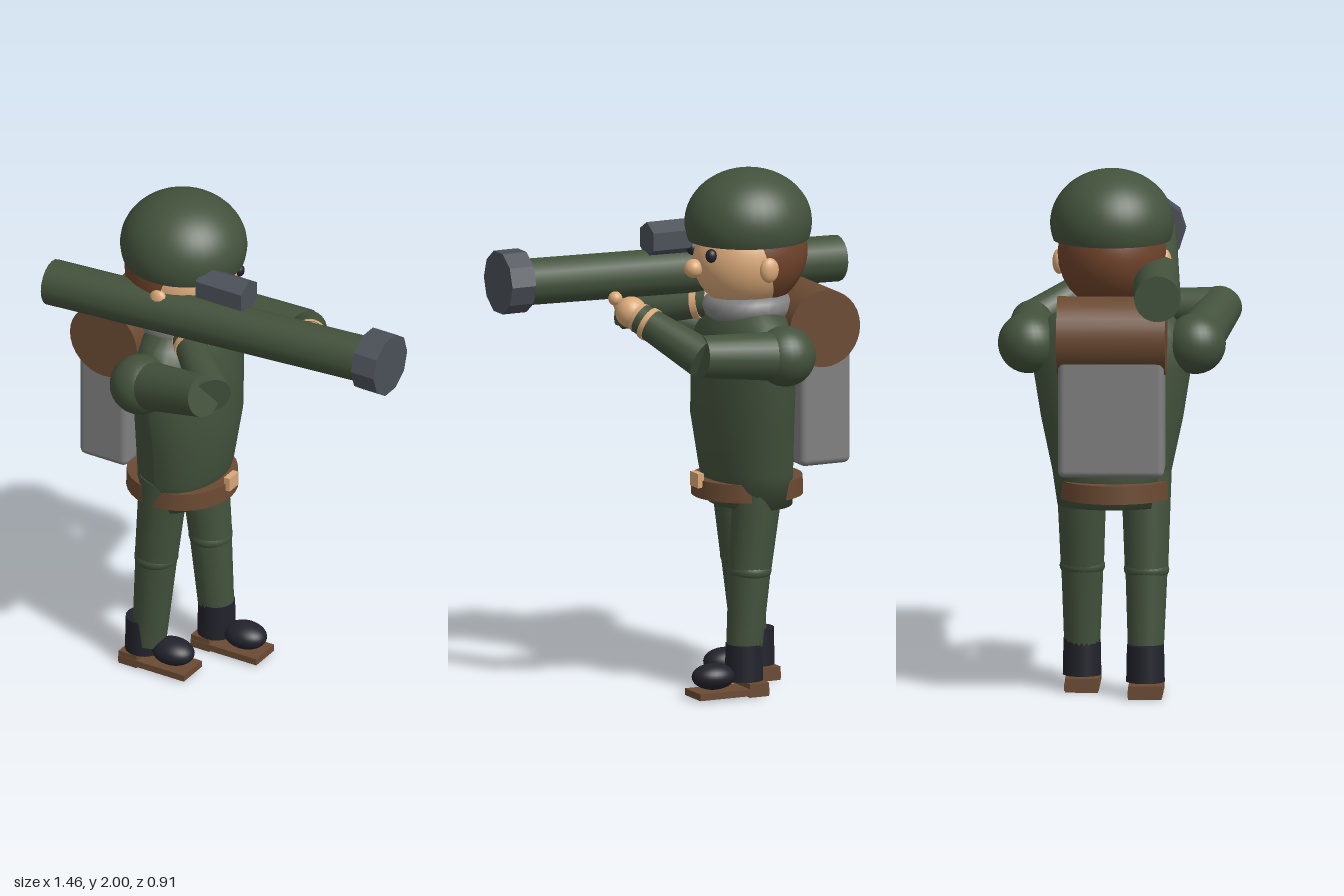
import * as THREE from 'three';
import { RoundedBoxGeometry } from 'three/addons/geometries/RoundedBoxGeometry.js';

const mat = (name, color, opts = {}) => {
  const m = new THREE.MeshStandardMaterial({ color, ...opts });
  m.name = name;
  return m;
};

export function createModel() {
  const green = mat('uniform green', 0x43523c);
  const brown = mat('leather brown', 0x6b4a32);
  const grey = mat('canvas grey', 0x808080);
  const metal = mat('gun metal', 0x4b5058, { flatShading: true });
  const dark = mat('boot black', 0x22222c);
  const skin = mat('skin', 0xd9a878);
  const hairMat = mat('hair brown', 0x6f432a, { side: THREE.DoubleSide });
  const helmetMat = green.clone();
  helmetMat.side = THREE.DoubleSide;

  const model = new THREE.Group();
  model.name = 'soldier';
  const V = (p) => new THREE.Vector3(...p);
  const UP = new THREE.Vector3(0, 1, 0);

  const add = (name, geo, m, p = [0, 0, 0], s = [1, 1, 1]) => {
    const mesh = new THREE.Mesh(geo, m);
    mesh.name = name;
    mesh.position.set(...p);
    mesh.scale.set(...s);
    model.add(mesh);
    return mesh;
  };
  const ball = (name, m, p, rx, ry = rx, rz = rx) =>
    add(name, new THREE.SphereGeometry(1, 28, 18), m, p, [rx, ry, rz]);
  // Tapered cylinder running from point a to point b
  const limb = (name, m, a, b, ra, rb, sides = 24) => {
    const d = V(b).sub(V(a));
    const mesh = add(name, new THREE.CylinderGeometry(rb, ra, d.length(), sides), m);
    mesh.position.copy(V(a)).addScaledVector(d, 0.5);
    mesh.quaternion.setFromUnitVectors(UP, d.normalize());
    return mesh;
  };
  const lerp = (a, b, t) => a.map((v, i) => v + (b[i] - v) * t);

  // Torso: unit lathe whose rings are stretched to an oval by height
  const rings = [ // y, half depth x, half width z, centre x
    [0.72, 0.15, 0.205, -0.265], [0.85, 0.165, 0.225, -0.25], [1.05, 0.175, 0.268, -0.235],
    [1.25, 0.165, 0.3, -0.24], [1.36, 0.15, 0.295, -0.245], [1.44, 0.13, 0.23, -0.25],
    [1.49, 0.08, 0.13, -0.255]];
  const profile = [new THREE.Vector2(0, 0), ...rings.map((r, i) => new THREE.Vector2(1, i)),
    new THREE.Vector2(0, rings.length - 1)];
  const torso = new THREE.LatheGeometry(profile, 32);
  const pos = torso.attributes.position;
  for (let i = 0; i < pos.count; i++) {
    const [y, rx, rz, cx] = rings[Math.round(pos.getY(i))];
    pos.setXYZ(i, cx + pos.getX(i) * rx, y, -0.025 + pos.getZ(i) * rz);
  }
  torso.computeVertexNormals();
  add('jacket', torso, green);

  // Belt and buckle
  add('belt', new THREE.CylinderGeometry(0.21, 0.212, 0.07, 32), brown, [-0.26, 0.785, -0.015]);
  add('beltBuckle', new THREE.BoxGeometry(0.025, 0.055, 0.065), skin, [-0.047, 0.82, -0.02]);

  // Legs and boots: [side name, z, hip x, knee x, ankle x]
  for (const [side, z, hx, kx, ax] of [
    ['right', 0.105, -0.265, -0.3, -0.333], ['left', -0.14, -0.25, -0.21, -0.18]]) {
    const hip = [hx, 0.85, z], knee = [kx, 0.48, z + 0.002], ankle = [ax, 0.1, z];
    limb(side + 'Thigh', green, hip, knee, 0.096, 0.082);
    ball(side + 'Knee', green, knee, 0.083, 0.05, 0.086);
    limb(side + 'Shin', green, knee, ankle, 0.08, 0.065);
    const fx = side === 'right' ? -0.285 : -0.115; // middle of the sole
    add(side + 'BootShaft', new THREE.CylinderGeometry(0.07, 0.073, 0.14, 20), dark,
      [fx - 0.07, 0.13, z]);
    ball(side + 'BootToe', dark, [fx + 0.058, 0.083, z], 0.086, 0.05, 0.068);
    add(side + 'BootSole', new THREE.BoxGeometry(0.29, 0.026, 0.13), brown, [fx, 0.02, z]);
    add(side + 'BootHeel', new THREE.BoxGeometry(0.08, 0.052, 0.125), brown, [fx - 0.105, 0.026, z]);
  }

  // Arms: shoulder, elbow, wrist
  for (const [side, shoulder, elbow, elbow2, wrist] of [
    ['left', [-0.26, 1.335, -0.34], [0.095, 1.365, -0.337], [0.09, 1.36, -0.345], [0.245, 1.49, -0.115]],
    ['right', [-0.26, 1.335, 0.29], [0.075, 1.43, 0.378], [0.09, 1.42, 0.345], [-0.17, 1.475, 0.1]]]) {
    ball(side + 'Shoulder', green, shoulder, 0.115);
    limb(side + 'UpperArm', green, shoulder, elbow, 0.095, 0.08);
    limb(side + 'Forearm', green, elbow2, wrist, 0.076, 0.057);
    limb(side + 'CuffBand', skin, lerp(elbow2, wrist, 0.8), lerp(elbow2, wrist, 0.87), 0.066, 0.064);
    const hand = lerp(elbow2, wrist, 1.12);
    limb(side + 'Wrist', skin, lerp(elbow2, wrist, 0.97), hand, 0.06, 0.045);
    ball(side + 'Hand', skin, hand, 0.06);
    const dir = V(wrist).sub(V(elbow2)).normalize();
    for (let i = -1; i <= 1; i++) {
      const q = V(hand).addScaledVector(dir, 0.05);
      ball(side + 'Finger', skin, [q.x + i * 0.02, q.y + i * 0.028, q.z + i * 0.005], 0.027);
    }
  }

  // Scarf and neck
  add('neck', new THREE.CylinderGeometry(0.1, 0.1, 0.16, 20), skin, [-0.26, 1.5, -0.025]);
  const scarf = add('scarf', new THREE.TorusGeometry(0.125, 0.05, 10, 24), grey, [-0.26, 1.475, -0.025]);
  scarf.rotation.x = Math.PI / 2;

  // Head and face
  ball('head', skin, [-0.25, 1.655, -0.025], 0.205, 0.19, 0.19);
  ball('nose', skin, [-0.03, 1.635, -0.025], 0.036);
  for (const s of [-1, 1]) {
    ball('eye', dark, [-0.065, 1.695, -0.025 + s * 0.08], 0.022, 0.026, 0.022);
    ball('ear', skin, [-0.25, 1.645, -0.025 + s * 0.2], 0.038, 0.048, 0.025);
  }
  const hair = add('hair', new THREE.SphereGeometry(1, 28, 14, 0, Math.PI * 2, 0, Math.PI * 0.53),
    hairMat, [-0.265, 1.68, -0.025], [0.215, 0.225, 0.205]);
  hair.rotation.z = 1.25;

  // Helmet dome with a closed underside, and its peak
  const domeEnd = Math.PI * 0.6;
  add('helmet', new THREE.SphereGeometry(1, 36, 20, 0, Math.PI * 2, 0, domeEnd), helmetMat,
    [-0.26, 1.795, -0.025], [0.243, 0.205, 0.233]);
  const rimY = 1.795 + 0.205 * Math.cos(domeEnd);
  const under = add('helmetUnderside', new THREE.CircleGeometry(1, 36), helmetMat,
    [-0.26, rimY, -0.025], [0.243 * Math.sin(domeEnd), 0.233 * Math.sin(domeEnd), 1]);
  under.rotation.x = Math.PI / 2;
  const peak = new THREE.Shape();
  peak.moveTo(-0.08, -0.19);
  peak.lineTo(0.03, -0.17);
  peak.quadraticCurveTo(0.2, 0, 0.03, 0.17);
  peak.lineTo(-0.08, 0.19);
  const brim = add('helmetPeak', new THREE.ExtrudeGeometry(peak, { depth: 0.022, bevelEnabled: false }),
    green, [-0.14, 1.765, -0.025]);
  brim.rotation.set(Math.PI / 2, 0.06, 0);

  // Backpack and bedroll
  add('backpack', new RoundedBoxGeometry(0.21, 0.5, 0.4, 3, 0.025), grey, [-0.495, 1.12, -0.018]);
  const roll = add('bedroll', new THREE.CylinderGeometry(0.148, 0.148, 0.41, 32), brown, [-0.485, 1.398, -0.018]);
  roll.rotation.x = Math.PI / 2;

  // Shoulder launcher with muzzle ring and sight
  limb('launcherTube', green, [-0.727, 1.575, 0.163], [0.64, 1.62, 0.1], 0.088, 0.088, 20);
  const muzzle = add('muzzleRing', new THREE.CylinderGeometry(0.122, 0.122, 0.1, 10), metal, [0.68, 1.628, 0.1]);
  muzzle.rotation.z = Math.PI / 2;
  const sight = add('sight', new THREE.CylinderGeometry(0.068, 0.068, 0.2, 6), metal, [0.005, 1.735, 0.1]);
  sight.rotation.z = Math.PI / 2;
  sight.rotation.y = 0;
  sight.geometry.rotateY(Math.PI / 2);

  return model;
}
